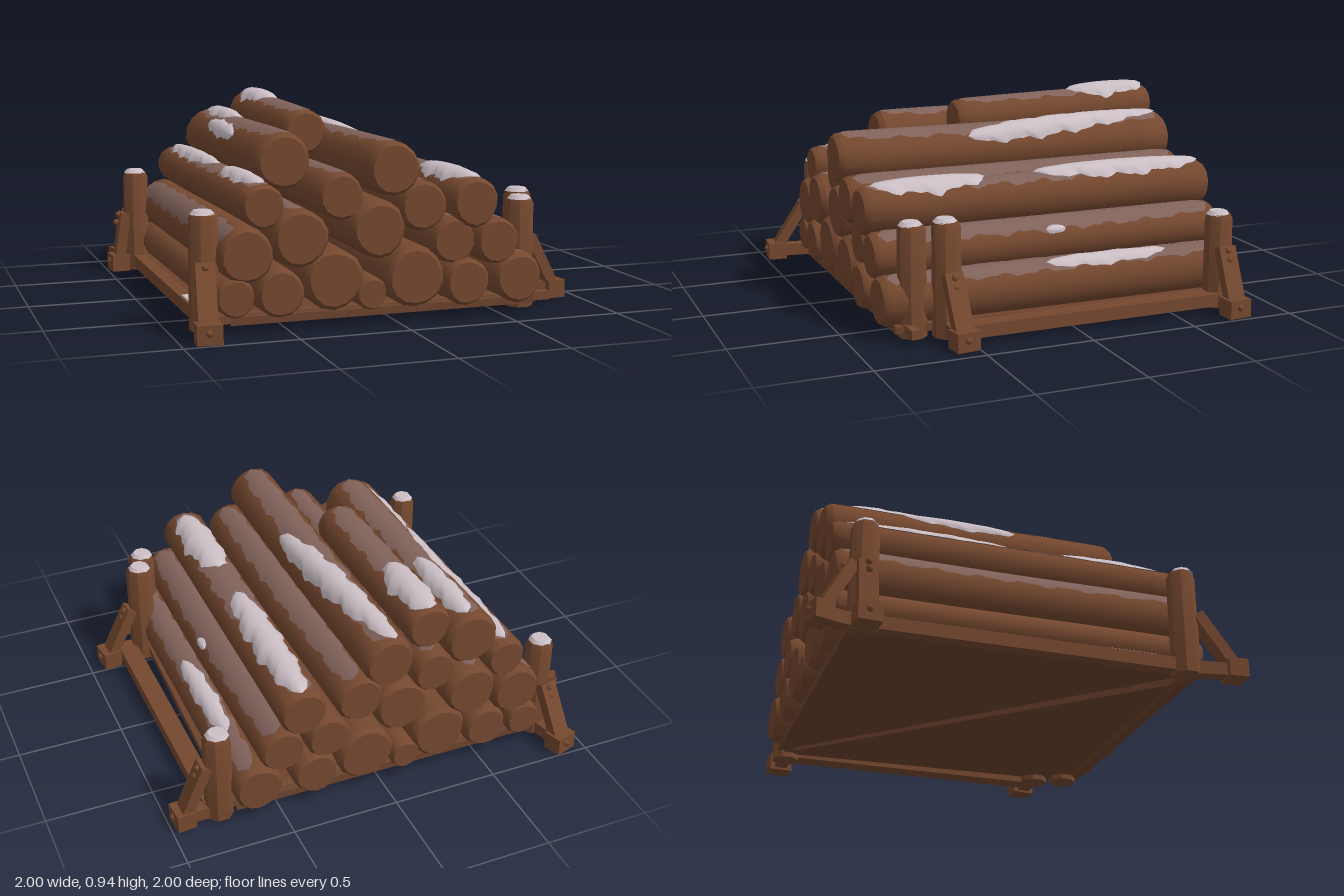
import * as THREE from 'three';
import { toCreasedNormals } from 'three/addons/utils/BufferGeometryUtils.js';

const mat = (name, color, side = THREE.FrontSide) => {
  const m = new THREE.MeshStandardMaterial({ color, side });
  m.name = name;
  return m;
};

// front x, front y, radius, front z, shift of the back end in x and y
const LOGS = [
  [-0.73, 0.17, 0.087, 0.83, 0, 0], [-0.53, 0.18, 0.107, 0.84, 0, 0],
  [-0.285, 0.225, 0.135, 0.83, 0, 0], [-0.115, 0.15, 0.073, 0.83, 0, 0],
  [0.085, 0.215, 0.137, 0.85, 0, 0], [0.33, 0.18, 0.107, 0.86, 0, 0],
  [0.585, 0.18, 0.115, 0.85, 0.02, 0], [-0.68, 0.35, 0.122, 0.83, 0, 0],
  [-0.44, 0.415, 0.127, 0.84, 0, 0], [-0.085, 0.435, 0.127, 0.84, 0, 0],
  [0.27, 0.365, 0.104, 0.84, 0, 0], [0.48, 0.355, 0.105, 0.85, 0.01, 0],
  [-0.6, 0.555, 0.096, 0.81, -0.01, 0], [-0.245, 0.58, 0.104, 0.8, 0, 0],
  [0.12, 0.53, 0.112, 0.85, 0, 0], [0.365, 0.535, 0.112, 0.86, 0.025, 0],
  [-0.425, 0.71, 0.128, 0.53, 0, 0], [-0.02, 0.7, 0.12, 0.86, 0, -0.01],
  [-0.215, 0.805, 0.105, 0.19, 0.01, 0.025],
];
const BACK = -0.855;

// point on a log's bark: angle a from straight up, scale k, extra height e
function barkPoint(i, z, a, k = 1, e = 0) {
  const [x, y, r, zf, dx, dy] = LOGS[i];
  const t = (zf - z) / (zf - BACK);
  const wobble = 1 + 0.025 * Math.sin(3 * a + i * 2) + 0.015 * Math.sin(7 * t + i) * Math.cos(a + i);
  const d = r * wobble * k + e;
  return [x + dx * t + Math.sin(a) * d, y + dy * t + Math.cos(a) * d, z];
}

// surface grid: u runs round, v runs along
function grid(nu, nv, fn) {
  const pos = [], index = [];
  for (let v = 0; v <= nv; v++) for (let u = 0; u <= nu; u++) pos.push(...fn(u / nu, v));
  for (let v = 0; v < nv; v++) for (let u = 0; u < nu; u++) {
    const p = v * (nu + 1) + u, q = p + nu + 1;
    index.push(p, q, p + 1, p + 1, q, q + 1);
  }
  const g = new THREE.BufferGeometry();
  g.setAttribute('position', new THREE.Float32BufferAttribute(pos, 3));
  g.setIndex(index);
  g.computeVertexNormals();
  return g;
}

function logGeometry(i) {
  const zf = LOGS[i][3];
  const rings = [[BACK, 0], [BACK, 0.86], [BACK + 0.025, 1]];
  for (let n = 1; n < 10; n++) rings.push([THREE.MathUtils.lerp(BACK, zf, n / 10), 1]);
  rings.push([zf - 0.025, 1], [zf, 0.86], [zf, 0]);
  return toCreasedNormals(grid(14, rings.length - 1,
    (u, v) => barkPoint(i, rings[v][0], u * Math.PI * 2, rings[v][1])), 0.6);
}

// ragged patch lying on a log; centre angle goes from c0 (back) to c1 (front)
function patchGeometry(i, z0, z1, c0, c1, half, thick, taper) {
  const nv = Math.max(8, Math.round((z1 - z0) * 32));
  return grid(8, nv, (u, v) => {
    const t = v / nv, z = z0 + (z1 - z0) * t, s = u * 2 - 1;
    const ends = Math.pow(Math.max(0, Math.sin(Math.PI * t)), taper);
    const rag = 1 + 0.14 * Math.sin(z * 31 + i + s * 2) + 0.1 * Math.sin(z * 67 + s * 5);
    const a = c0 + (c1 - c0) * t + s * half * ends * rag;
    return barkPoint(i, z, a, 1, 0.003 + thick * (1 - s * s) * ends);
  });
}

export function createModel() {
  const model = new THREE.Group();
  const wood = mat('brown wood', 0x75482f);
  const floorWood = mat('floor wood', 0x6d432e, THREE.DoubleSide);
  const frost = mat('frosted bark', 0x80625a, THREE.DoubleSide);
  const snow = mat('snow', 0xcbbfc5, THREE.DoubleSide);

  const add = (name, geometry, material, parent = model) => {
    const m = new THREE.Mesh(geometry, material);
    m.name = name;
    parent.add(m);
    return m;
  };
  const beam = (name, a, b, w, h, parent) => {
    const p = new THREE.Vector3(...a), q = new THREE.Vector3(...b);
    const m = add(name, new THREE.BoxGeometry(w, h, p.distanceTo(q)), wood, parent);
    m.position.copy(p).add(q).multiplyScalar(0.5);
    m.lookAt(q);
    return m;
  };

  // log pile
  const pile = new THREE.Group();
  pile.name = 'logPile';
  model.add(pile);
  LOGS.forEach((_, i) => add('log', logGeometry(i), wood, pile));

  // frost along the exposed backs: log, centre angle, half angle
  [[6, 0.35, 0.5], [7, -0.7, 0.5], [8, -0.1, 0.35], [10, 0.2, 0.4], [11, 0.3, 0.65],
    [12, 0, 0.7], [13, 0.1, 0.5], [14, 0.25, 0.55], [15, 0, 0.75], [16, 0, 0.6],
    [17, 0.1, 0.6], [18, 0, 0.65]].forEach(([i, c, half]) =>
    add('frost', patchGeometry(i, BACK + 0.03, LOGS[i][3] - 0.03, c, c, half, 0, 0.15), frost, pile));

  // snow: log, back z, front z, back angle, front angle, half angle, depth
  [[12, -0.82, 0.01, 0, 0, 0.62, 0.022], [12, 0.19, 0.74, 0, 0, 0.65, 0.02],
    [16, -0.82, -0.31, 0.15, 0.1, 0.5, 0.024], [16, -0.49, 0.04, -0.7, -0.95, 0.36, 0.012],
    [18, -0.845, -0.42, 0, 0, 0.85, 0.024], [17, -0.84, 0.22, -0.2, 0.85, 0.62, 0.022],
    [15, -0.84, 0.02, 0.05, 0, 0.75, 0.028], [15, 0.26, 0.81, 0, 0.05, 0.85, 0.02],
    [6, -0.54, 0.07, 0.35, 0.45, 0.42, 0.01], [11, -0.06, 0.04, 0.95, 0.95, 0.2, 0.008],
  ].forEach(([i, z0, z1, c0, c1, half, depth]) =>
    add('snowPatch', patchGeometry(i, z0, z1, c0, c1, half, depth + 0.003, 0.4), snow, pile));

  // floor: two triangular slabs with a narrow diagonal slit
  const floor = (pts) => {
    const shape = new THREE.Shape(pts.map(([x, z]) => new THREE.Vector2(x, -z)));
    const g = new THREE.ExtrudeGeometry(shape, { depth: 0.035, bevelEnabled: false });
    add('floorSlab', g.rotateX(-Math.PI / 2).translate(0, 0.05, 0), floorWood);
  };
  floor([[-0.8, -0.8], [-0.82, 0.76], [0.7, -0.8]]);
  floor([[0.73, -0.78], [-0.75, 0.8], [0.68, 0.8]]);

  // side rails
  beam('leftRail', [-0.84, 0.07, -0.75], [-0.84, 0.07, 0.74], 0.06, 0.06);
  beam('rightRail', [0.79, 0.07, -0.75], [0.79, 0.07, 0.6], 0.09, 0.06);
  beam('frontRail', [-0.82, 0.07, 0.74], [0.78, 0.07, 0.74], 0.04, 0.04);
  beam('backRail', [-0.82, 0.07, -0.75], [0.78, 0.07, -0.75], 0.04, 0.04);
  const railSnow = add('railSnow', new THREE.BoxGeometry(0.04, 0.006, 0.22), snow);
  railSnow.position.set(-0.84, 0.103, 0.47);

  // eight-sided corner posts with snow caps; each brace is [foot x, foot z]
  const posts = [
    { x: -0.845, z: 0.72, h: 0.53, feet: [[-0.88, 0.94]] },
    { x: -0.845, z: -0.75, h: 0.53, feet: [[-0.94, -0.75], [-0.89, -0.94]] },
    { x: 0.645, z: 0.71, h: 0.525, feet: [] },
    { x: 0.7, z: 0.57, h: 0.54, feet: [[0.89, 0.56]] },
    { x: 0.765, z: -0.75, h: 0.465, feet: [[0.935, -0.75]] },
  ];
  const profile = (h) => [[0, 0.025], [0.066, 0.025], [0.064, h - 0.025], [0.053, h], [0, h]]
    .map(([x, y]) => new THREE.Vector2(x, y));
  const boltGeo = new THREE.SphereGeometry(0.016, 8, 6);

  for (const { x, z, h, feet } of posts) {
    const g = new THREE.Group();
    g.name = 'cornerPost';
    model.add(g);
    const post = add('post', toCreasedNormals(
      new THREE.LatheGeometry(profile(h), 8).rotateY(Math.PI / 8), 0.5), wood, g);
    post.position.set(x, 0, z);
    const cap = add('snowCap', new THREE.CylinderGeometry(0.04, 0.056, 0.018, 8), snow, g);
    cap.position.set(x - 0.004, h + 0.006, z + 0.003);
    cap.rotation.y = Math.PI / 8;

    for (const [fx, fz] of feet) {
      const dir = new THREE.Vector3(fx - x, 0, fz - z).normalize();
      const at = (d, y) => [x + dir.x * d, y, z + dir.z * d];
      beam('brace', at(0.06, 0.32), [fx, 0.07, fz], 0.085, 0.05, g);
      beam('footBeam', [x, 0.06, z], [fx, 0.06, fz], 0.06, 0.06, g);
      const foot = add('foot', new THREE.BoxGeometry(0.11, 0.085, 0.09), wood, g);
      foot.position.set(fx, 0.062, fz);
      foot.rotation.y = Math.atan2(dir.x, dir.z) + 0.08;
      // bolts at the top of the brace and on the foot
      for (const p of [at(0.092, 0.31), at(0.105, 0.27)]) {
        add('bolt', boltGeo, wood, g).position.set(...p);
      }
      add('bolt', boltGeo, wood, g).position.set(fx + dir.x * 0.045, 0.07, fz + dir.z * 0.045);
    }
  }
  return model;
}
